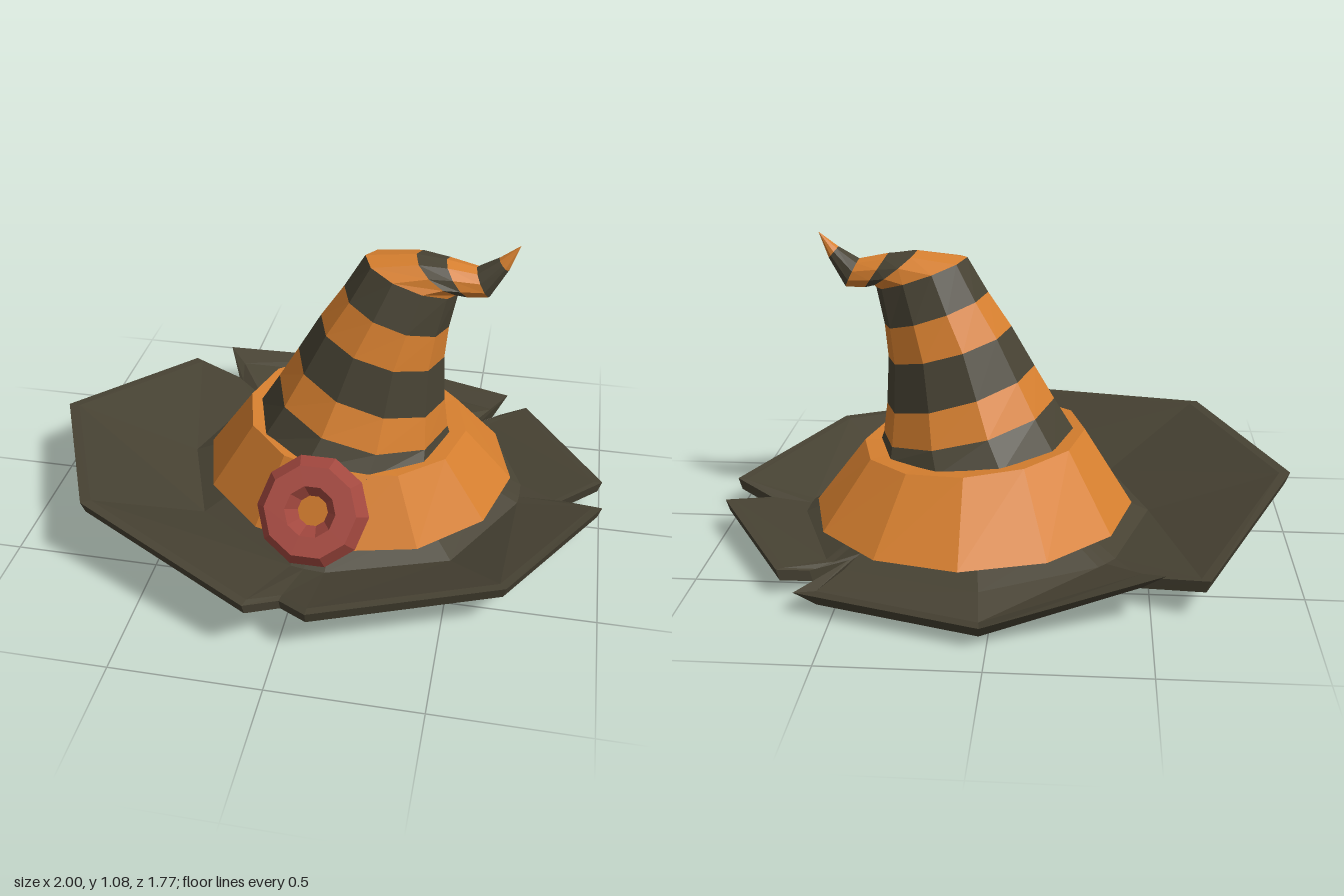
import * as THREE from 'three';

const mat = (name, color) =>
  Object.assign(new THREE.MeshStandardMaterial({ color, flatShading: true }), { name });

// Skins a list of equal-length rings of points; outward when the rings go up
function loft(rings, flip = false) {
  const pos = [];
  const tri = (a, b, c) => {
    const area = b.clone().sub(a).cross(c.clone().sub(a)).length();
    if (area < 1e-8) return;
    for (const p of flip ? [a, c, b] : [a, b, c]) pos.push(p.x, p.y, p.z);
  };
  for (let k = 0; k < rings.length - 1; k++) {
    const lo = rings[k], hi = rings[k + 1], n = lo.length;
    for (let i = 0; i < n; i++) {
      const j = (i + 1) % n;
      tri(lo[i], hi[i], lo[j]);
      tri(hi[i], hi[j], lo[j]);
    }
  }
  const g = new THREE.BufferGeometry();
  g.setAttribute('position', new THREE.Float32BufferAttribute(pos, 3));
  g.computeVertexNormals();
  return g;
}

// Tilted ellipse given by its left point, right point, half depth and z centre
function ring([lx, ly, rx, ry, w], n, zc = -0.02, scale = 1) {
  const pts = [];
  for (let i = 0; i < n; i++) {
    const a = (i / n) * Math.PI * 2, c = Math.cos(a) * scale;
    pts.push(new THREE.Vector3(
      (lx + rx) / 2 + c * (rx - lx) / 2,
      (ly + ry) / 2 + c * (ry - ly) / 2,
      zc + Math.sin(a) * w * scale));
  }
  return pts;
}

export function createModel() {
  const hat = new THREE.Group();
  hat.name = 'witchHat';
  const dark = mat('dark felt', 0x474233);
  const orange = mat('orange cloth', 0xd67f2f);
  const red = mat('red buckle', 0xa3483f);
  const add = (name, geo, material) => {
    const m = new THREE.Mesh(geo, material);
    m.name = name;
    hat.add(m);
    return m;
  };

  // Brim: torn, warped outline around a low inner fold
  const outline = [
    [-1, 0.255, -0.05], [-0.68, 0.14, -0.66], [-0.48, 0.11, -0.59], [-0.54, 0.18, -0.71],
    [0.02, 0.08, -0.89], [0.62, 0.08, -0.71], [0.49, 0.075, -0.47], [0.6, 0.08, -0.56],
    [0.7, 0.1, -0.6], [1, 0.12, -0.12], [0.86, 0.09, -0.02], [1, 0.13, 0.05],
    [0.7, 0.18, 0.6], [0.1, 0.19, 0.85], [0, 0.16, 0.77], [-0.09, 0.22, 0.88], [-0.72, 0.29, 0.57],
  ].map((p) => new THREE.Vector3(...p));
  const cx = 0.1, cz = -0.08;
  const inward = (radius, y) => outline.map((p) => {
    const dx = p.x - cx, dz = p.z - cz, d = Math.hypot(dx, dz);
    const r = Math.min(radius, d * 0.87);
    return new THREE.Vector3(cx + dx / d * r, y - 0.02 * dx / d * r, cz + dz / d * r);
  });
  // Lip: the back flap (points 3 to 5) has a wider upturned edge than the rest
  const lip = (inset, drop, flapDrop) => outline.map((p, i) => {
    const flap = i >= 3 && i <= 5;
    const s = flap ? 0.89 : inset;
    return new THREE.Vector3(cx + (p.x - cx) * s, p.y - (flap ? flapDrop : drop), cz + (p.z - cz) * s);
  });
  add('brim', loft([
    inward(0.51, 0.055), inward(0.61, 0.035), lip(0.985, 0.042, 0.078), outline,
    lip(0.965, 0.002, 0.03), inward(0.61, 0.09), inward(0.48, 0.15),
  ]), dark);

  // Band: flared skirt with a flat lip reaching the cone
  add('band', loft([
    ring([-0.45, 0.14, 0.67, 0.12, 0.55], 12, -0.085),
    ring([-0.28, 0.395, 0.5, 0.335, 0.39], 12, -0.04),
    ring([-0.2, 0.385, 0.42, 0.335, 0.3], 12, -0.03),
  ]), orange);

  // Cone: striped rings that lean and curl over into the tip
  const rows = [
    [-0.25, 0.37, 0.445, 0.33, 0.37],
    [-0.17, 0.5, 0.435, 0.36, 0.31],
    [-0.1, 0.62, 0.42, 0.47, 0.255],
    [-0.02, 0.76, 0.41, 0.64, 0.21],
    [0.06, 0.88, 0.42, 0.76, 0.17],
    [0.13, 1.0, 0.445, 0.89, 0.12],
    [0.3, 1.02, 0.455, 0.9, 0.1],
    [0.4, 1.01, 0.485, 0.888, 0.075],
    [0.5, 0.99, 0.55, 0.89, 0.055],
    [0.57, 1.03, 0.605, 0.99, 0.028],
    [0.637, 1.08, 0.637, 1.08, 0],
  ];
  for (let k = 0; k < rows.length - 1; k++) {
    const geo = loft([ring(rows[k], 10), ring(rows[k + 1], 10)]);
    add('coneStripe' + (k + 1), geo, k % 2 ? orange : dark);
  }

  // Lining: hollow inside of the crown
  add('lining', loft([
    ring([-0.42, 0.06, 0.62, 0.04, 0.52], 10, -0.08),
    ring(rows[0], 10, -0.03, 0.9),
    ring(rows[3], 10, -0.02, 0.85),
    ring([0.27, 0.88, 0.27, 0.88, 0], 10),
  ], true), dark);

  // Buckle: chunky ring leaning against the band
  const buckle = add('buckle', new THREE.TorusGeometry(0.12, 0.069, 6, 10), red);
  buckle.position.set(0.045, 0.28, 0.45);
  buckle.rotation.x = -0.58;

  return hat;
}
